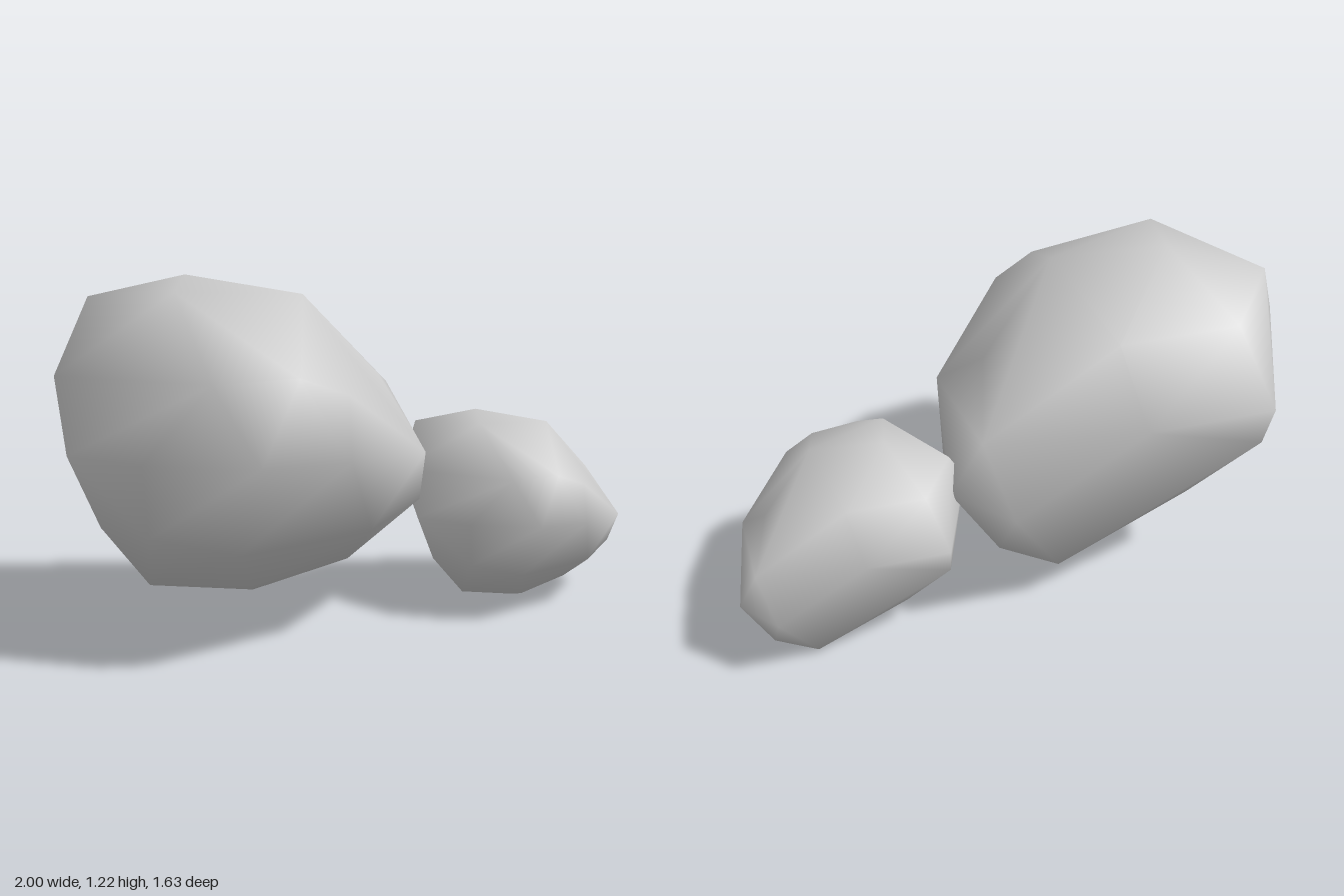
import * as THREE from 'three';
import { ConvexGeometry } from 'three/addons/geometries/ConvexGeometry.js';
import { mergeVertices } from 'three/addons/utils/BufferGeometryUtils.js';

// Corner points of one boulder, grouped by region
const CORNERS = [
  // crown
  [-0.45, 1.22, -0.3], [-0.61, 1.14, -0.61], [-0.69, 1.187, -0.12], [-0.26, 1.16, 0.06],
  [-0.32, 1.05, -0.65], [-0.04, 1.025, -0.34],
  // front
  [-0.9, 0.945, 0.23], [-0.655, 0.95, 0.37], [-0.85, 0.7, 0.38], [-0.57, 0.69, 0.505], [-0.5, 0.885, 0.44],
  [-0.09, 0.64, 0.45], [0.03, 0.865, 0.165], [-0.8, 0.4, 0.24], [-0.27, 0.395, 0.36], [0.14, 0.41, 0.27],
  // left end
  [0.39, 0.775, -0.06], [0.41, 0.52, -0.2], [0.385, 0.52, 0.08], [0.31, 0.3, -0.07],
  // right end
  [-1, 0.69, 0.03], [-0.97, 0.455, 0.02], [-0.97, 0.67, -0.34], [-0.87, 0.42, -0.3],
  // back
  [-0.3, 0.78, -0.815], [-0.81, 0.89, -0.57], [-0.4, 0.57, -0.74], [-0.33, 0.31, -0.49], [0.05, 0.42, -0.38],
  // underside
  [-0.37, 0.13, -0.08], [0.115, 0.15, -0.2], [-0.48, 0.19, -0.34], [-0.81, 0.24, -0.14],
  [-0.65, 0.245, 0.15], [-0.05, 0.2, 0.09],
];

// One hull corner at the back is pushed inwards to form a shallow hollow
const DENT = { from: new THREE.Vector3(0.06, 0.68, -0.58), to: new THREE.Vector3(0.01, 0.75, -0.49) };

function boulderGeometry() {
  const hull = new ConvexGeometry([...CORNERS.map((p) => new THREE.Vector3(...p)), DENT.from]);
  hull.deleteAttribute('normal');
  // Shared vertices give soft shading
  const geometry = mergeVertices(hull, 1e-4);
  const position = geometry.attributes.position;
  const corner = new THREE.Vector3();
  for (let i = 0; i < position.count; i++) {
    corner.fromBufferAttribute(position, i);
    if (corner.distanceTo(DENT.from) < 1e-3) position.setXYZ(i, ...DENT.to);
  }
  geometry.computeVertexNormals();
  return geometry;
}

export function createModel() {
  const model = new THREE.Group();
  const material = new THREE.MeshStandardMaterial({ color: 0xcccccc });
  const geometry = boulderGeometry();

  // The small rock is a scaled copy of the large one
  const addRock = (name, scale, position) => {
    const rock = new THREE.Mesh(geometry, material);
    rock.name = name;
    rock.scale.setScalar(scale);
    rock.position.set(...position);
    model.add(rock);
  };
  addRock('largeRock', 1, [0, 0, 0]);
  addRock('smallRock', 0.64, [0.74, -0.083, 0.495]);
  return model;
}
